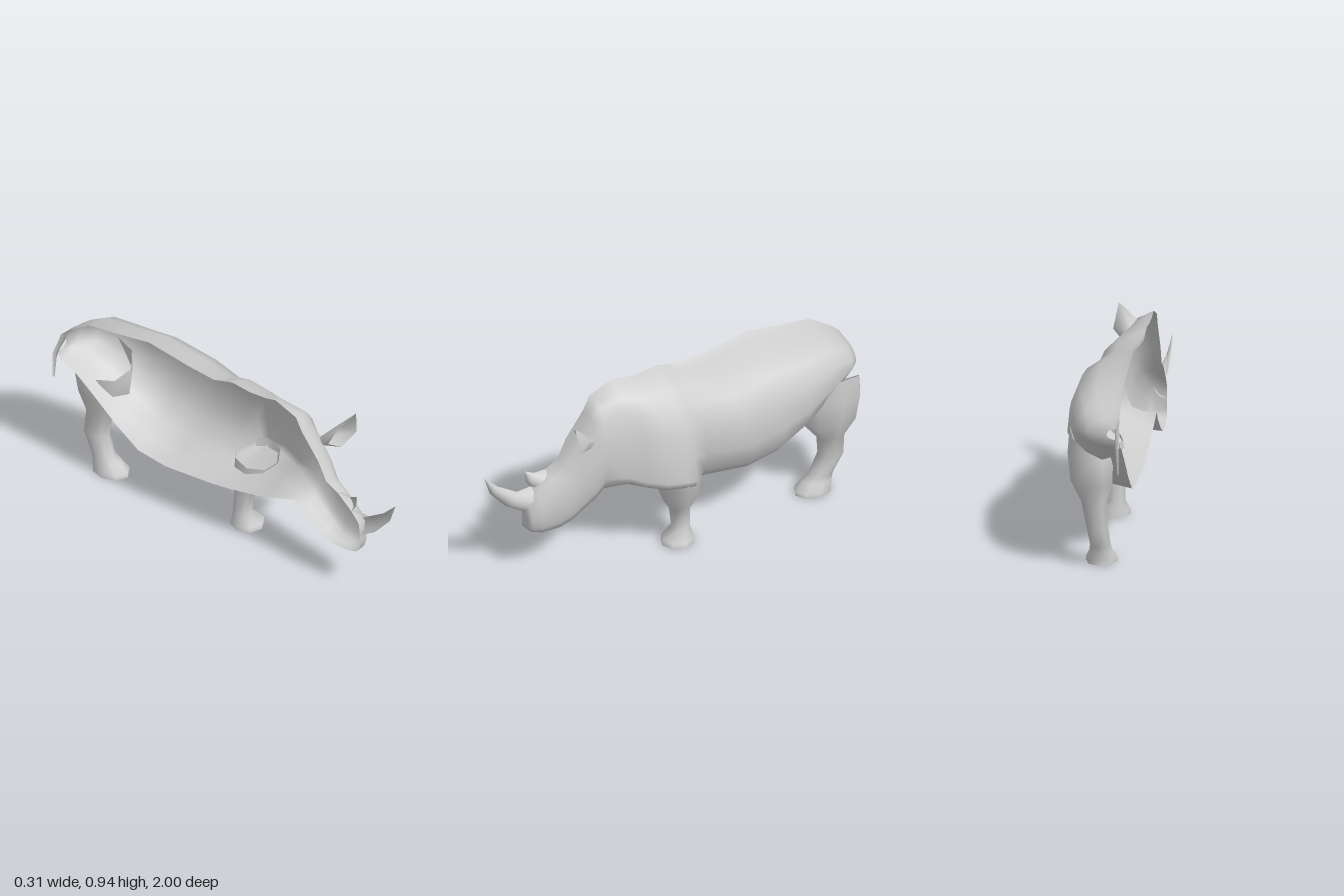
import * as THREE from 'three';

const MID = -0.157; // x of the open cut through the middle of the animal

const grey = new THREE.MeshStandardMaterial({ color: 0xcccccc, side: THREE.DoubleSide });
grey.name = 'grey hide';

// Cross-section outlines as [share of the way down, share of the half width]
const barrel = [[0, 0], [0.04, 0.14], [0.09, 0.5], [0.18, 0.79], [0.38, 0.96],
  [0.6, 1], [0.78, 0.87], [0.9, 0.62], [0.97, 0.3], [1, 0]];
const shoulder = [[0, 0], [0.03, 0.18], [0.1, 0.47], [0.2, 0.68], [0.4, 0.86],
  [0.6, 0.93], [0.8, 1], [0.86, 0.95], [0.94, 0.5], [1, 0]];
const skull = [[0, 0], [0.01, 0.3], [0.05, 0.58], [0.18, 0.85], [0.4, 1],
  [0.62, 1], [0.82, 0.92], [0.95, 0.76], [0.99, 0.4], [1, 0]];
const round = Array.from({ length: 6 }, (_, j) => {
  const t = (j / 5) * Math.PI;
  return [(1 - Math.cos(t)) / 2, Math.sin(t)];
});

// Skin a list of rows of points; closed joins each row's end to its start
function skin(name, rows, closed = false) {
  const n = rows[0].length, idx = [];
  for (let i = 0; i < rows.length - 1; i++) {
    for (let j = 0; j < (closed ? n : n - 1); j++) {
      const k = (j + 1) % n;
      const a = i * n + j, b = a + n, c = i * n + k, d = c + n;
      idx.push(a, b, c, b, d, c);
    }
  }
  const geo = new THREE.BufferGeometry();
  geo.setAttribute('position', new THREE.Float32BufferAttribute(rows.flat(2), 3));
  geo.setIndex(idx);
  geo.computeVertexNormals();
  const mesh = new THREE.Mesh(geo, grey);
  mesh.name = name;
  return mesh;
}

// Half cross-sections [zA, yA, zB, yB, width, outline]: from A out to the side and back to B
function halfLoft(name, sections) {
  return skin(name, sections.map(([zA, yA, zB, yB, w, outline = round]) =>
    outline.map(([s, u]) => [MID + w * u, yA + (yB - yA) * s, zA + (zB - zA) * s])));
}

// Leg from oval rings [y, x, z, radiusX, radiusZ, tilt], top to bottom, with a flat sole
function leg(name, rings, sides = 8) {
  const rows = rings.map(([y, x, z, rx, rz, tilt = 0]) =>
    Array.from({ length: sides }, (_, j) => {
      const a = (j / sides) * Math.PI * 2, c = Math.cos(a);
      return [x + rx * c, y + tilt * c, z - rz * Math.sin(a)];
    }));
  const [y, x, z] = rings[rings.length - 1];
  const last = rows[rows.length - 1];
  const group = new THREE.Group();
  group.name = name;
  group.add(skin(name + 'Skin', rows, true));
  group.add(skin(name + 'Sole', [last, last.map(() => [x, y, z])], true));
  return group;
}

export function createModel() {
  const model = new THREE.Group();
  model.name = 'halfRhinoceros';

  // Body, neck and head, from rump to muzzle
  model.add(halfLoft('bodyAndHead', [
    [-0.965, 0.72, -0.965, 0.66, 0.06, barrel],
    [-0.95, 0.77, -0.955, 0.62, 0.155, barrel],
    [-0.90, 0.815, -0.89, 0.60, 0.215, barrel],
    [-0.79, 0.89, -0.78, 0.51, 0.258, barrel],
    [-0.63, 0.91, -0.63, 0.38, 0.29, barrel],
    [-0.44, 0.94, -0.50, 0.285, 0.305, barrel],
    [-0.20, 0.90, -0.34, 0.26, 0.314, barrel],
    [-0.06, 0.885, -0.08, 0.275, 0.265, barrel],
    [0.01, 0.905, 0.00, 0.285, 0.293, shoulder],
    [0.05, 0.915, 0.05, 0.292, 0.295, shoulder],
    [0.15, 0.903, 0.15, 0.31, 0.28, shoulder],
    [0.24, 0.907, 0.24, 0.33, 0.23, shoulder],
    [0.30, 0.92, 0.30, 0.35, 0.185, shoulder],
    [0.42, 0.87, 0.41, 0.385, 0.157, skull],
    [0.455, 0.80, 0.45, 0.345, 0.152, skull],
    [0.55, 0.67, 0.51, 0.30, 0.138, skull],
    [0.595, 0.575, 0.57, 0.257, 0.125, skull],
    [0.67, 0.53, 0.63, 0.228, 0.11, skull],
    [0.74, 0.465, 0.72, 0.225, 0.094, skull],
    [0.785, 0.41, 0.77, 0.24, 0.078, skull],
    [0.792, 0.36, 0.79, 0.26, 0.055, skull],
    [0.79, 0.33, 0.79, 0.29, 0, skull],
  ]));

  // Horns
  model.add(halfLoft('frontHorn', [
    [0.74, 0.465, 0.79, 0.34, 0.06],
    [0.82, 0.46, 0.88, 0.40, 0.042],
    [0.93, 0.53, 0.967, 0.50, 0.02],
    [1.0, 0.60, 1.0, 0.60, 0],
  ]));
  model.add(halfLoft('rearHorn', [
    [0.66, 0.535, 0.745, 0.465, 0.045],
    [0.725, 0.535, 0.77, 0.50, 0.02],
    [0.775, 0.56, 0.775, 0.56, 0],
  ]));

  // Tail
  model.add(halfLoft('tail', [
    [-0.93, 0.74, -0.95, 0.77, 0.02],
    [-0.96, 0.68, -0.975, 0.70, 0.02],
    [-0.98, 0.62, -1.0, 0.64, 0.016],
    [-0.99, 0.50, -1.0, 0.50, 0.006],
  ]));

  // Legs, open at the top where they meet the body
  model.add(leg('frontLeg', [
    [0.385, 0.045, 0.05, 0.09, 0.12, 0.035],
    [0.27, 0.02, 0.03, 0.08, 0.09],
    [0.19, -0.008, 0.015, 0.054, 0.052],
    [0.075, -0.015, 0.006, 0.046, 0.047],
    [0.025, -0.005, 0.027, 0.077, 0.08],
    [0, -0.005, 0.027, 0.08, 0.083],
  ]));
  model.add(leg('hindLeg', [
    [0.60, 0, -0.812, 0.098, 0.155, 0.07],
    [0.52, 0, -0.815, 0.108, 0.158, 0.03],
    [0.41, -0.005, -0.81, 0.1, 0.14],
    [0.31, -0.02, -0.82, 0.062, 0.073],
    [0.19, -0.035, -0.83, 0.052, 0.07],
    [0.09, -0.045, -0.785, 0.05, 0.06],
    [0.06, -0.045, -0.765, 0.056, 0.078],
    [0.02, -0.045, -0.74, 0.075, 0.095],
    [0, -0.045, -0.74, 0.075, 0.097],
  ]));

  // Ear: an open cup widening from the base to a pointed rim
  const rim = [
    [0.05, 0.858, 0.62], [-0.045, 0.79, 0.575], [-0.05, 0.70, 0.53],
    [0, 0.67, 0.57], [0.075, 0.73, 0.605],
  ];
  const back = [
    [0.03, 0.76, 0.535], [-0.035, 0.75, 0.51], [-0.06, 0.69, 0.49],
    [-0.03, 0.665, 0.49], [0.03, 0.71, 0.53],
  ];
  model.add(skin('ear', [rim.map(() => [-0.035, 0.69, 0.455]), back, rim], true));

  return model;
}
